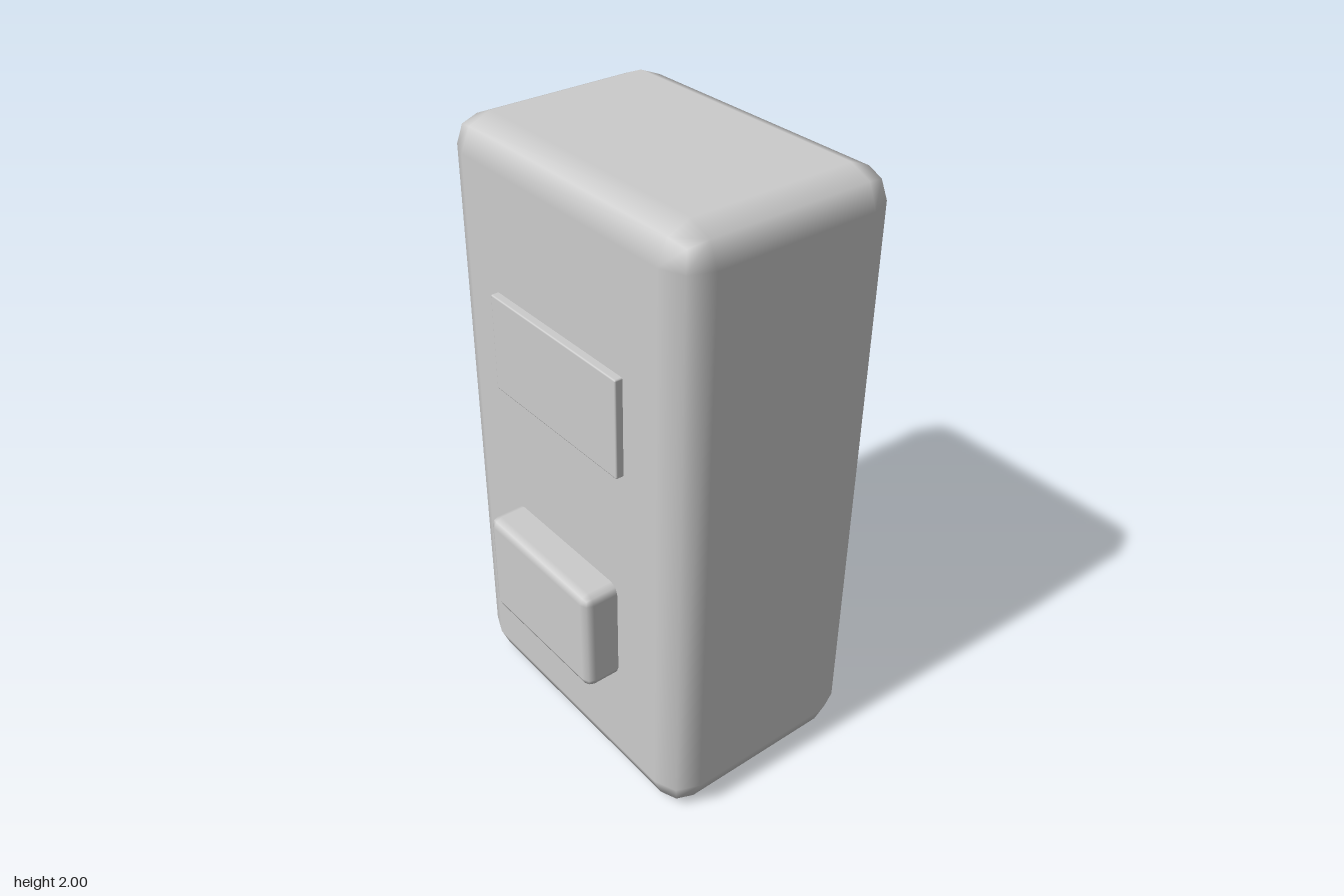
import * as THREE from 'three';
import { RoundedBoxGeometry } from 'three/addons/geometries/RoundedBoxGeometry.js';

const material = new THREE.MeshStandardMaterial({ color: 0xcccccc });

// Box with softened edges, given by its lower and upper corners
function roundedBlock(name, min, max, radius) {
  const size = max.map((v, i) => v - min[i]);
  const mesh = new THREE.Mesh(new RoundedBoxGeometry(...size, 1, radius), material);
  mesh.position.set(...max.map((v, i) => (v + min[i]) / 2));
  mesh.name = name;
  return mesh;
}

export function createModel() {
  const group = new THREE.Group();
  group.name = 'wallUnit';
  group.add(
    // main housing
    roundedBlock('housing', [-0.538, 0, -0.425], [0.538, 2, 0.31], 0.102),
    // thin display panel, set into the front
    roundedBlock('displayPanel', [-0.296, 1.206, 0.285], [0.296, 1.524, 0.335], 0.005),
    // raised push button, set into the front
    roundedBlock('pushButton', [-0.258, 0.426, 0.21], [0.258, 0.784, 0.425], 0.03),
  );
  return group;
}
